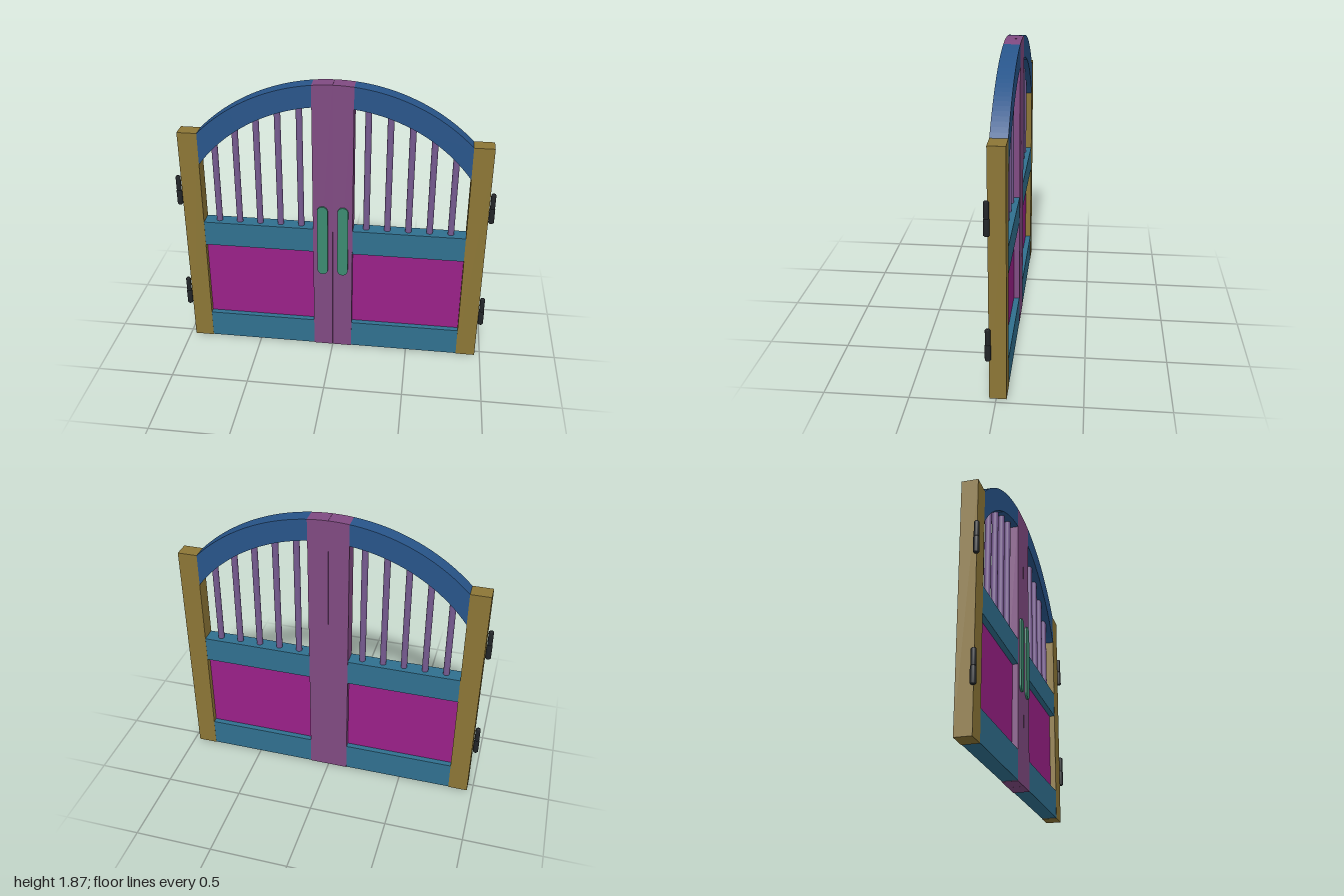
import * as THREE from 'three';

const Z_BACK = -0.06, Z_FRONT = 0.04, DEPTH = Z_FRONT - Z_BACK, Z_MID = (Z_BACK + Z_FRONT) / 2;
const ARC_Y = 0.692, R_OUT = 1.183, R_IN = 1.046; // concentric arch curves
const STILE = 0.127, POST_IN = 0.84, POST_OUT = 0.965;

const paint = (color) => new THREE.MeshStandardMaterial({ color });
const mats = {
  post: paint(0x8c7636), rail: paint(0x30708f), panel: paint(0x9a2088), stile: paint(0x804a82),
  arch: paint(0x28558a), bar: paint(0x765a90), handle: paint(0x3b8a70), hinge: paint(0x222528),
};

const arcY = (r, x) => ARC_Y + Math.sqrt(r * r - x * x);

// points along an arch curve between two x positions
function arcPoints(r, x0, x1, n = 24) {
  const a0 = Math.asin(x0 / r), a1 = Math.asin(x1 / r);
  return Array.from({ length: n + 1 }, (_, i) => {
    const a = a0 + ((a1 - a0) * i) / n;
    return new THREE.Vector2(r * Math.sin(a), ARC_Y + r * Math.cos(a));
  });
}

function addMesh(parent, name, geometry, material, x = 0, y = 0, z = 0) {
  const mesh = new THREE.Mesh(geometry, material);
  mesh.name = name;
  mesh.position.set(x, y, z);
  parent.add(mesh);
  return mesh;
}

const addBox = (parent, name, mat, x0, x1, y0, y1, depth = DEPTH) =>
  addMesh(parent, name, new THREE.BoxGeometry(x1 - x0, y1 - y0, depth), mat, (x0 + x1) / 2, (y0 + y1) / 2, Z_MID);

const extrude = (shape, depth) =>
  new THREE.ExtrudeGeometry(shape, { depth, bevelEnabled: false, curveSegments: 16 });

// one leaf; side = 1 for the model's left, -1 for its right
function createLeaf(side) {
  const leaf = new THREE.Group();
  leaf.name = side > 0 ? 'leftLeaf' : 'rightLeaf';
  const span = (a, b) => (side > 0 ? [a, b] : [-b, -a]);

  addBox(leaf, 'outerPost', mats.post, ...span(POST_IN, POST_OUT), 0, 1.525);
  addBox(leaf, 'bottomRail', mats.rail, ...span(STILE, POST_IN), 0.003, 0.19, DEPTH - 0.002);
  addBox(leaf, 'middleRail', mats.rail, ...span(STILE, POST_IN), 0.735, 0.903, DEPTH - 0.002);
  addBox(leaf, 'panel', mats.panel, ...span(STILE, POST_IN), 0.185, 0.74, 0.026);

  // meeting stile with its top cut to the arch
  const [s0, s1] = span(0.0005, STILE);
  const stile = new THREE.Shape([
    new THREE.Vector2(s0, 0), new THREE.Vector2(s1, 0), ...arcPoints(R_OUT, s1, s0, 6),
  ]);
  addMesh(leaf, 'meetingStile', extrude(stile, DEPTH), mats.stile, 0, 0, Z_BACK);

  // curved top rail
  const [a0, a1] = span(STILE, POST_IN);
  const arch = new THREE.Shape([...arcPoints(R_IN, a0, a1), ...arcPoints(R_OUT, a1, a0)]);
  addMesh(leaf, 'archRail', extrude(arch, DEPTH), mats.arch, 0, 0, Z_BACK);

  // round bars ending inside the arch
  for (let i = 0; i < 5; i++) {
    const x = 0.21 + i * 0.134, top = arcY(R_IN + 0.04, x), bottom = 0.89;
    addMesh(leaf, 'bar' + (i + 1), new THREE.CylinderGeometry(0.02, 0.02, top - bottom, 16),
      mats.bar, side * x, (top + bottom) / 2, Z_MID);
  }

  // flat pull plate with round ends
  const r = 0.034, y0 = 0.575 + r, y1 = 1.072 - r;
  const plate = new THREE.Shape();
  plate.absarc(0, y1, r, 0, Math.PI, false);
  plate.absarc(0, y0, r, Math.PI, 2 * Math.PI, false);
  addMesh(leaf, 'handle', extrude(plate, 0.012), mats.handle, side * 0.065, 0, Z_FRONT);

  // barrel hinges: a rounded pin with a slightly wider lower sleeve
  for (const y of [0.365, 1.13]) {
    const hinge = new THREE.Group();
    hinge.name = y < 1 ? 'lowerHinge' : 'upperHinge';
    const barrel = (rad, b, t) => new THREE.LatheGeometry([
      new THREE.Vector2(0, b), new THREE.Vector2(rad - 0.005, b), new THREE.Vector2(rad, b + 0.006),
      new THREE.Vector2(rad, t - 0.006), new THREE.Vector2(rad - 0.005, t), new THREE.Vector2(0, t),
    ], 16);
    addMesh(hinge, 'pin', barrel(0.0155, -0.002, 0.1), mats.hinge);
    addMesh(hinge, 'sleeve', barrel(0.0175, -0.1, 0.002), mats.hinge);
    hinge.position.set(side * 0.9825, y, 0.043);
    leaf.add(hinge);
  }
  return leaf;
}

export function createModel() {
  const gate = new THREE.Group();
  gate.name = 'gate';
  gate.add(createLeaf(1), createLeaf(-1));
  return gate;
}
